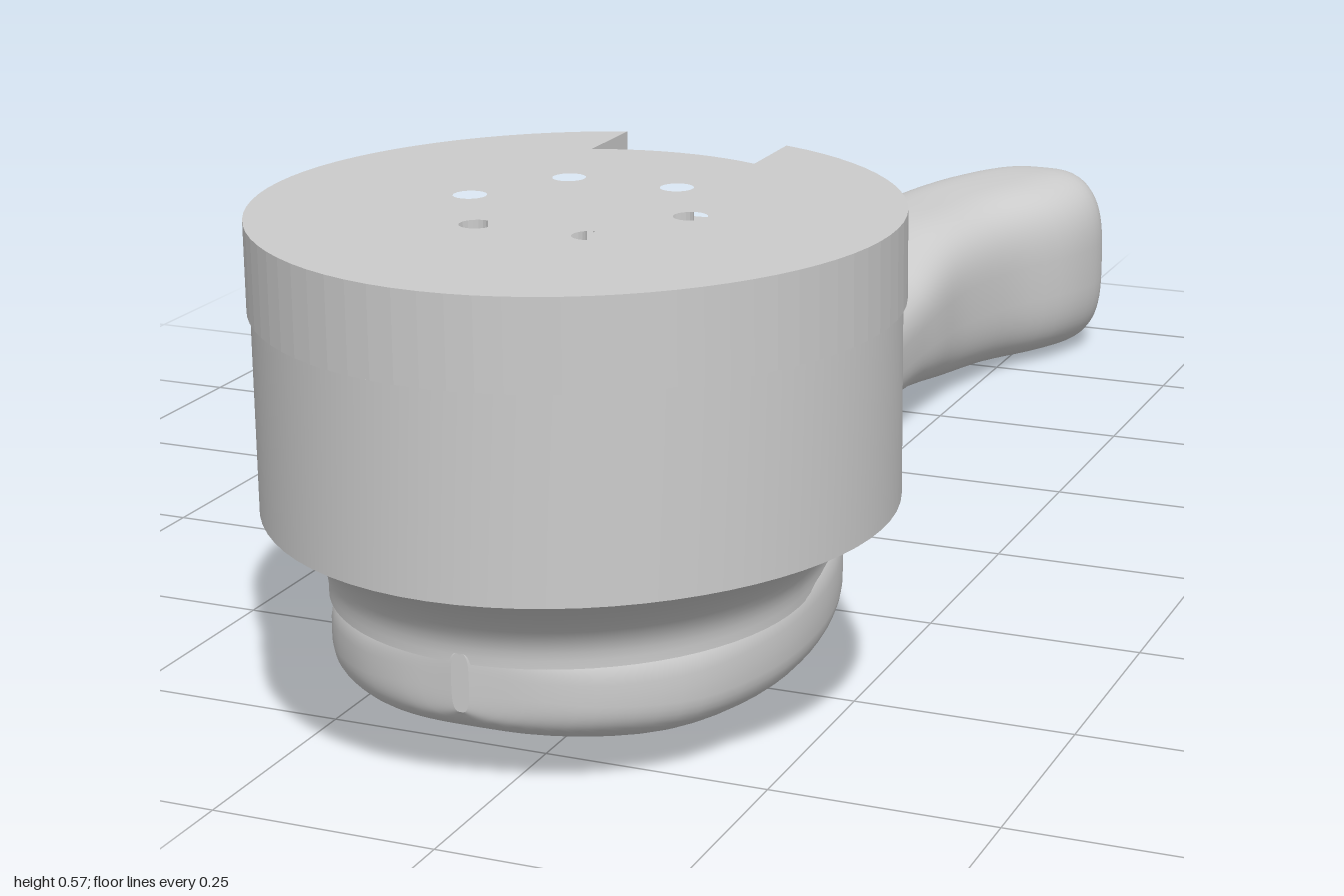
import * as THREE from 'three';

const CZ = 0.648; // hub axis
const SEG = 72;
const mat = new THREE.MeshStandardMaterial({ color: 0xcccccc });

// Skin a list of closed rings, with optional flat end caps.
function loft(rings, capStart, capEnd) {
  const n = rings[0].length, pos = [], idx = [];
  rings.forEach(r => r.forEach(p => pos.push(p.x, p.y, p.z)));
  for (let j = 0; j < rings.length - 1; j++) {
    for (let i = 0; i < n; i++) {
      const k = (i + 1) % n;
      const a = j * n + i, b = j * n + k, c = a + n, d = b + n;
      idx.push(a, c, b, b, c, d);
    }
  }
  const cap = (ring, flip) => {
    const base = pos.length / 3;
    const mid = new THREE.Vector3();
    ring.forEach(p => { pos.push(p.x, p.y, p.z); mid.addScaledVector(p, 1 / n); });
    pos.push(mid.x, mid.y, mid.z);
    for (let i = 0; i < n; i++) {
      const a = base + i, b = base + (i + 1) % n;
      idx.push(base + n, flip ? b : a, flip ? a : b);
    }
  };
  if (capStart) cap(rings[0], false);
  if (capEnd) cap(rings[rings.length - 1], true);
  const g = new THREE.BufferGeometry();
  g.setAttribute('position', new THREE.Float32BufferAttribute(pos, 3));
  g.setIndex(idx);
  g.computeVertexNormals();
  return g;
}

// Slightly lobed hub outline; returns [x, z] at an angle.
function hubPoint(a, lip = 0) {
  const r = 0.335 + 0.016 * Math.sin(a) ** 4 + lip * Math.cos(a) ** 2;
  return [r * Math.cos(a), CZ + r * Math.sin(a)];
}

function ring(fn) {
  return Array.from({ length: SEG }, (_, i) => fn(i / SEG * Math.PI * 2));
}

function hubRing(y) {
  return ring(a => { const [x, z] = hubPoint(a); return new THREE.Vector3(x, y, z); });
}

// Handle: rounded sections [z, left x, right x, bottom y, top y].
function handleGeometry() {
  const stations = [
    [0.87, -0.045, -0.025, 0.088, 0.152], [0.855, -0.12, 0.05, 0.07, 0.16],
    [0.82, -0.185, 0.115, 0.052, 0.165], [0.75, -0.25, 0.18, 0.034, 0.175],
    [0.65, -0.285, 0.218, 0.026, 0.19], [0.55, -0.295, 0.228, 0.028, 0.2],
    [0.45, -0.295, 0.215, 0.035, 0.205], [0.35, -0.29, 0.178, 0.041, 0.205],
    [0.2, -0.28, 0.112, 0.047, 0.202], [0, -0.266, 0.05, 0.05, 0.202],
    [-0.2, -0.255, 0.015, 0.05, 0.203], [-0.4, -0.245, 0, 0.045, 0.206],
    [-0.5, -0.237, 0, 0.032, 0.226], [-0.6, -0.225, 0.006, 0.016, 0.246],
    [-0.72, -0.207, 0.037, 0.008, 0.253], [-0.82, -0.175, 0.09, 0.003, 0.26],
    [-0.9, -0.125, 0.108, 0, 0.262], [-0.95, -0.085, 0.09, 0.008, 0.255],
    [-0.985, -0.045, 0.05, 0.025, 0.238], [-1, -0.006, 0.014, 0.05, 0.21],
  ];
  const curve = f => new THREE.CatmullRomCurve3(stations.map(f), false, 'catmullrom');
  const low = curve(s => new THREE.Vector3(s[1], s[3], s[0]));
  const high = curve(s => new THREE.Vector3(s[2], s[4], s[0]));
  const soft = v => Math.sign(v) * Math.abs(v) ** 0.64;
  const rings = [], steps = (stations.length - 1) * 4;
  for (let j = 0; j <= steps; j++) {
    const p = low.getPoint(j / steps), q = high.getPoint(j / steps);
    rings.push(ring(a => new THREE.Vector3(
      (p.x + q.x) / 2 + (q.x - p.x) / 2 * soft(Math.cos(a)),
      (p.y + q.y) / 2 + (q.y - p.y) / 2 * soft(Math.sin(a)),
      p.z)));
  }
  return loft(rings, true, true);
}

// Neck: concave fillet from the handle's head out to the hub.
function neckGeometry() {
  const rings = [];
  for (let j = -1; j <= 12; j++) {
    const t = j / 12, blend = j < 0 ? 0 : t * t;
    rings.push(ring(a => {
      const [hx, hz] = hubPoint(a);
      const x = -0.035 + 0.26 * Math.cos(a);
      const z = 0.6 + (Math.sin(a) > 0 ? 0.27 : 0.42) * Math.sin(a);
      return new THREE.Vector3(
        THREE.MathUtils.lerp(x, hx, blend), 0.15 + 0.108 * t, THREE.MathUtils.lerp(z, hz, blend));
    }));
  }
  return loft(rings, false, false);
}

// Top band with a rear notch and a circle of small holes (shape y = -z).
function bandGeometry() {
  const shape = new THREE.Shape();
  const half = 0.097, rIn = 0.26;
  const outer = Math.asin(half / 0.35), inner = Math.asin(half / rIn);
  for (let i = 0; i <= SEG; i++) {
    const a = -Math.PI / 2 + outer + (Math.PI * 2 - 2 * outer) * i / SEG;
    const [x, z] = hubPoint(a, 0.005);
    if (i === 0) shape.moveTo(x, -z); else shape.lineTo(x, -z);
  }
  for (let i = 0; i <= 10; i++) {
    const a = -inner + 2 * inner * i / 10;
    shape.lineTo(rIn * Math.sin(a), -(CZ - rIn * Math.cos(a)));
  }
  shape.closePath();
  for (let i = 0; i < 6; i++) {
    const a = i * Math.PI / 3;
    const hole = new THREE.Path();
    hole.absarc(0.125 * Math.cos(a), -0.645 + 0.125 * Math.sin(a), 0.018, 0, Math.PI * 2, true);
    shape.holes.push(hole);
  }
  const g = new THREE.ExtrudeGeometry(shape, { depth: 0.095, bevelEnabled: false, curveSegments: 10 });
  return g.rotateX(-Math.PI / 2).translate(0, 0.471, 0);
}

export function createModel() {
  const model = new THREE.Group();
  model.name = 'crankHandle';
  const add = (name, geometry) => {
    const mesh = new THREE.Mesh(geometry, mat);
    mesh.name = name;
    model.add(mesh);
  };
  add('handle', handleGeometry());
  add('neck', neckGeometry());
  add('hub', loft([hubRing(0.258), hubRing(0.471)], false, true));
  add('topBand', bandGeometry());
  return model;
}
